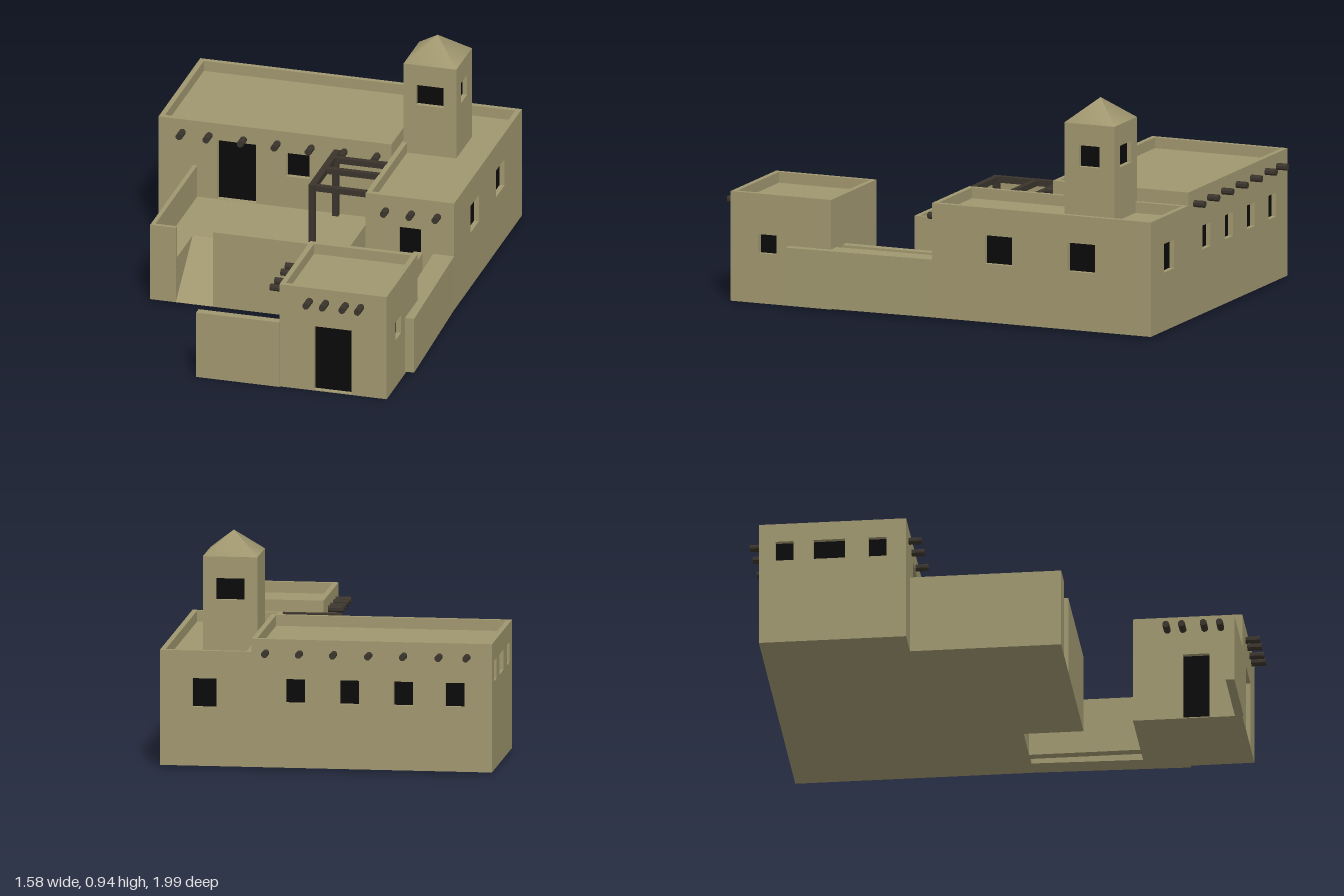
import * as THREE from 'three';

const adobe = new THREE.MeshStandardMaterial({ color: 0xa0976f });
const wood = new THREE.MeshStandardMaterial({ color: 0x3a342c });
const dark = new THREE.MeshStandardMaterial({ color: 0x0a0a0a });

function add(parent, name, geometry, material) {
  const mesh = new THREE.Mesh(geometry, material);
  mesh.name = name;
  parent.add(mesh);
  return mesh;
}

// Axis-aligned box given by its limits
function box(parent, name, x0, x1, y0, y1, z0, z1, material = adobe) {
  const mesh = add(parent, name, new THREE.BoxGeometry(x1 - x0, y1 - y0, z1 - z0), material);
  mesh.position.set((x0 + x1) / 2, (y0 + y1) / 2, (z0 + z1) / 2);
  return mesh;
}

// Wall panel with recessed openings [centre, bottom, width, height]
function wall(length, y0, y1, t, openings) {
  const group = new THREE.Group();
  const shape = new THREE.Shape();
  shape.moveTo(-length / 2, y0).lineTo(length / 2, y0).lineTo(length / 2, y1).lineTo(-length / 2, y1).closePath();
  for (const [c, b, w, h] of openings) {
    const hole = new THREE.Path();
    hole.moveTo(c - w / 2, b).lineTo(c - w / 2, b + h).lineTo(c + w / 2, b + h).lineTo(c + w / 2, b).closePath();
    shape.holes.push(hole);
    add(group, 'opening', new THREE.PlaneGeometry(w, h), dark).position.set(c, b + h / 2, 0.001);
  }
  add(group, 'wallPanel', new THREE.ExtrudeGeometry(shape, { depth: t, bevelEnabled: false }), adobe);
  return group;
}

// Flat-roofed room: four walls rising as a parapet round a sunken roof.
// Openings are placed by their x (front, back) or z (left, right).
function room(parent, name, x0, x1, y0, y1, z0, z1, openings, drop = 0.045) {
  const group = new THREE.Group();
  group.name = name;
  parent.add(group);
  const t = 0.022, cx = (x0 + x1) / 2, cz = (z0 + z1) / 2;
  const sides = {
    front: [0, cx, z1 - t, x1 - x0, cx, 1],
    back: [Math.PI, cx, z0 + t, x1 - x0, cx, -1],
    left: [Math.PI / 2, x1 - t, cz, z1 - z0 - 2 * t, cz, -1],
    right: [-Math.PI / 2, x0 + t, cz, z1 - z0 - 2 * t, cz, 1],
  };
  for (const [side, [angle, px, pz, length, mid, sign]] of Object.entries(sides)) {
    const holes = (openings[side] || []).map(([c, ...rest]) => [(c - mid) * sign, ...rest]);
    const panel = wall(length, y0, y1, t, holes);
    panel.name = side + 'Wall';
    panel.position.set(px, 0, pz);
    panel.rotation.y = angle;
    group.add(panel);
  }
  box(group, 'roof', x0 + t, x1 - t, y1 - drop - 0.02, y1 - drop, z0 + t, z1 - t);
  box(group, 'base', x0 + t, x1 - t, y0, y0 + 0.01, z0 + t, z1 - t);
  return group;
}

// Round roof beam end, along x or z
function beam(parent, axis, from, to, across, y) {
  const g = new THREE.CylinderGeometry(0.0145, 0.0145, to - from, 8).toNonIndexed();
  g.rotateY(Math.PI / 8);
  if (axis === 'z') g.rotateX(Math.PI / 2); else g.rotateZ(Math.PI / 2);
  g.computeVertexNormals();
  const mid = (from + to) / 2;
  add(parent, 'roofBeam', g, wood).position.set(axis === 'z' ? across : mid, y, axis === 'z' ? mid : across);
}

// Side profile of [z, y] points, extruded from x0 to x1
function profile(parent, name, points, x0, x1) {
  const shape = new THREE.Shape(points.map(([z, y]) => new THREE.Vector2(-z, y)));
  const g = new THREE.ExtrudeGeometry(shape, { depth: x1 - x0, bevelEnabled: false });
  g.rotateY(Math.PI / 2);
  add(parent, name, g, adobe).position.x = x0;
}

export function createModel() {
  const model = new THREE.Group();
  model.name = 'adobeHouse';
  const house = new THREE.Group();
  house.name = 'compound';
  house.rotation.y = 0.117;
  model.add(house);

  // Main hall
  room(house, 'mainHall', -0.688, 0.31, 0.01, 0.545, -0.926, -0.317, {
    front: [[-0.352, 0.206, 0.165, 0.264], [-0.09, 0.345, 0.1, 0.105]],
    back: [0.127, -0.097, -0.32, -0.535].map((x) => [x, 0.28, 0.08, 0.1]),
    right: [[-0.82, 0.38, 0.075, 0.085], [-0.635, 0.38, 0.13, 0.085], [-0.435, 0.38, 0.075, 0.085]],
  });
  for (const x of [-0.585, -0.47, -0.323, -0.178, -0.032, 0.109, 0.25]) {
    beam(house, 'z', -0.327, -0.263, x, 0.488);
    beam(house, 'z', -0.974, -0.916, x, 0.488);
  }

  // Side wing
  room(house, 'sideWing', 0.31, 0.69, 0.01, 0.49, -0.926, 0.06, {
    front: [[0.5, 0.235, 0.095, 0.12]],
    back: [[0.505, 0.255, 0.1, 0.12]],
    left: [[-0.24, 0.255, 0.122, 0.12], [-0.613, 0.255, 0.122, 0.12]],
  });
  for (const x of [0.398, 0.508, 0.62]) beam(house, 'z', 0.05, 0.106, x, 0.422);

  // Tower with pyramid roof
  const tx = 0.43, tz = -0.584, r = 0.113;
  room(house, 'tower', tx - r, tx + r, 0.43, 0.845, tz - r, tz + r, {
    front: [[tx, 0.665, 0.118, 0.09]],
    back: [[tx, 0.665, 0.118, 0.09]],
    left: [[tz, 0.665, 0.092, 0.09]],
  }, 0.01);
  const cap = new THREE.ConeGeometry(r * Math.SQRT2, 0.095, 4);
  cap.rotateY(Math.PI / 4);
  add(house, 'towerRoof', cap, adobe).position.set(tx, 0.8925, tz);

  // Courtyard terrace with a ramp cut into its front
  const flat = [[-0.317, 0.01], [0.308, 0.01], [0.308, 0.205], [-0.317, 0.205]];
  profile(house, 'terrace', flat, -0.54, -0.43);
  profile(house, 'ramp', [[-0.317, 0.01], [0.308, 0.01], [0.062, 0.205], [-0.317, 0.205]], -0.43, -0.27);
  profile(house, 'terrace', flat, -0.27, 0.31);

  // Courtyard walls
  box(house, 'courtyardSideWall', -0.54, -0.522, 0.2, 0.345, -0.317, 0.308);
  box(house, 'courtyardSideWall', 0.292, 0.31, 0.2, 0.345, 0.06, 0.308);
  box(house, 'courtyardFrontWall', -0.522, -0.43, 0.2, 0.345, 0.29, 0.308);
  box(house, 'courtyardFrontWall', -0.27, 0.292, 0.2, 0.345, 0.29, 0.308);
  box(house, 'wingFoot', 0.292, 0.31, 0.01, 0.2, 0.06, 0.3);

  // Pergola
  for (const z of [-0.3, 0.043]) box(house, 'pergolaPost', 0.065, 0.09, 0.205, 0.468, z - 0.0125, z + 0.0125, wood);
  box(house, 'pergolaRail', 0.064, 0.091, 0.466, 0.492, -0.317, 0.056, wood);
  for (const z of [-0.25, -0.137, 0.043]) {
    box(house, 'pergolaBar', 0.09, 0.312, 0.467, 0.491, z - 0.012, z + 0.012, wood);
  }

  // Gatehouse
  room(house, 'gatehouse', 0.21, 0.67, 0, 0.46, 0.523, 0.975, {
    front: [[0.438, 0.004, 0.16, 0.286]],
    left: [[0.808, 0.21, 0.08, 0.08]],
    right: [[0.785, 0.004, 0.11, 0.286]],
  });
  for (const x of [0.34, 0.41, 0.494, 0.56]) beam(house, 'z', 0.965, 1.035, x, 0.402);
  for (const z of [0.665, 0.73, 0.82, 0.887]) beam(house, 'x', 0.145, 0.22, z, 0.402);

  // Outer walls
  box(house, 'frontYardWall', -0.145, 0.212, 0, 0.29, 0.945, 0.981);
  box(house, 'passageWall', 0.515, 0.555, 0.01, 0.25, 0.055, 0.525);
  const outer = box(house, 'outerSideWall', 0.609, 0.699, 0.01, 0.252, 0.03, 0.71);
  outer.rotation.y = 0.03;

  return model;
}
